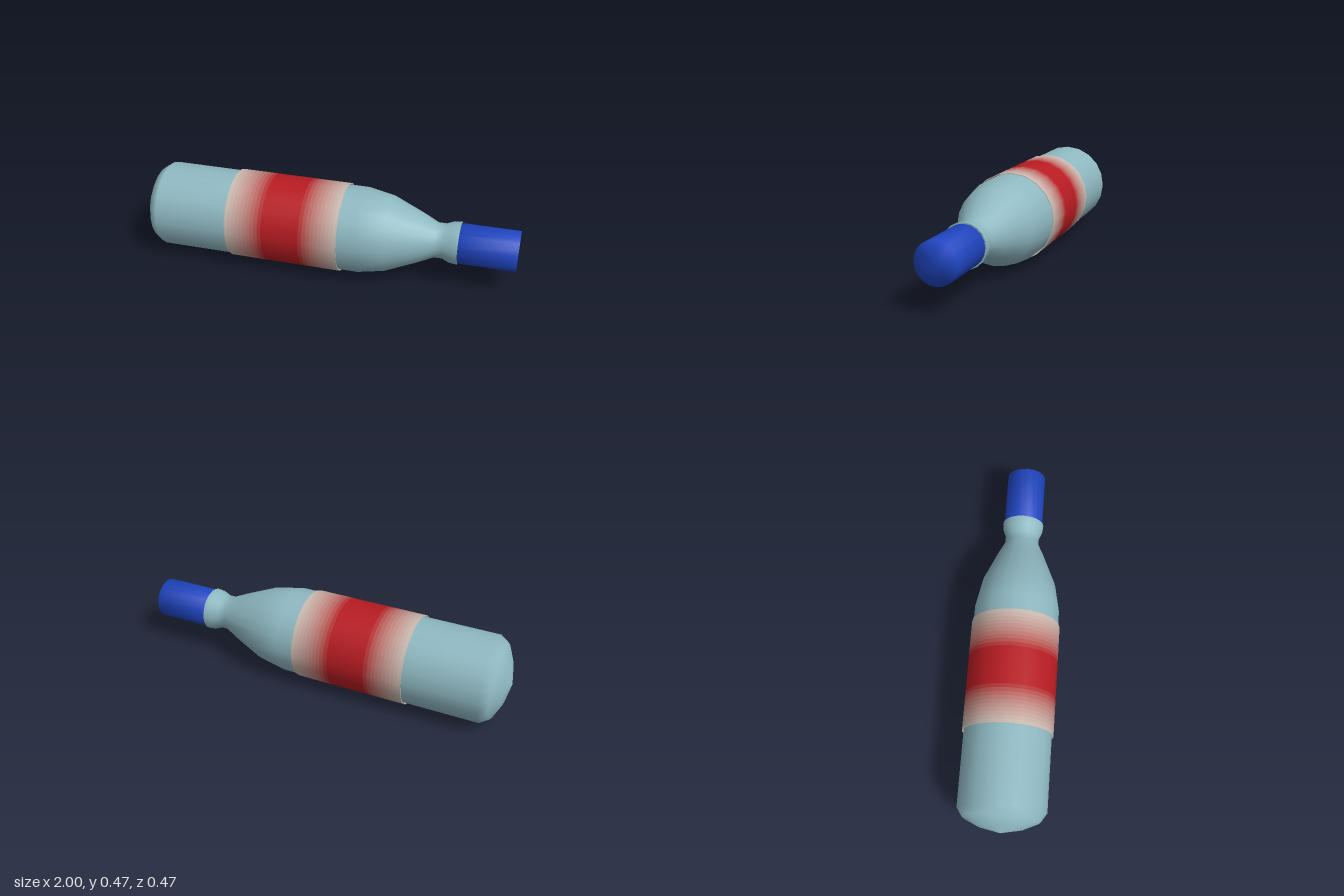
import * as THREE from 'three';

const SIDES = 20;
const AXIS_Y = 0.235;

// Turned part along +x: profile is a list of [x, radius], walked towards +x on the outside
function turned(name, profile, color, flatShading = false) {
  const points = profile.map(([x, r]) => new THREE.Vector2(r, x));
  const geometry = new THREE.LatheGeometry(points, SIDES);
  geometry.rotateZ(-Math.PI / 2);
  const mesh = new THREE.Mesh(geometry, new THREE.MeshStandardMaterial({ color, flatShading }));
  mesh.name = name;
  return mesh;
}

export function createModel() {
  const model = new THREE.Group();
  model.name = 'bottle';
  const glass = 0x8fb9c2;

  // Bottle body: domed base, straight barrel, tapering shoulder, neck and flared collar
  model.add(turned('body', [
    [-1, 0], [-0.973, 0.115], [-0.935, 0.195], [-0.888, 0.2265],
    [0.195, 0.2265], [0.334, 0.2], [0.5, 0.13], [0.58, 0.092],
    [0.622, 0.092], [0.66, 0.108], [0.7, 0.1125],
  ], glass));
  model.add(turned('collarFace', [[0.7, 0.1125], [0.7, 0]], glass));

  // Cap
  model.add(turned('cap', [[0.7, 0], [0.7, 0.105], [1, 0.105], [1, 0]], 0x1f45c0));

  // Label sleeve: narrow bands fading from pale edges to a red middle
  const label = new THREE.Group();
  label.name = 'label';
  const start = -0.5, end = 0.1, outer = 0.235, inner = 0.231, bands = 30;
  const pale = new THREE.Color(0xcbbfb5);
  const red = new THREE.Color(0xb81c22);
  const step = (end - start) / bands;
  for (let i = 0; i < bands; i++) {
    const x = start + i * step;
    const edgeDistance = Math.min(i + 0.5, bands - i - 0.5) * step;
    const color = pale.clone().lerp(red, Math.min(1, edgeDistance / 0.2));
    label.add(turned('labelBand', [[x, outer], [x + step, outer]], color));
  }
  // Rims and inner wall of the sleeve
  label.add(turned('labelLining',
    [[end, outer], [end, inner], [start, inner], [start, outer]], pale, true));
  model.add(label);

  model.position.y = AXIS_Y;
  const root = new THREE.Group();
  root.add(model);
  return root;
}
